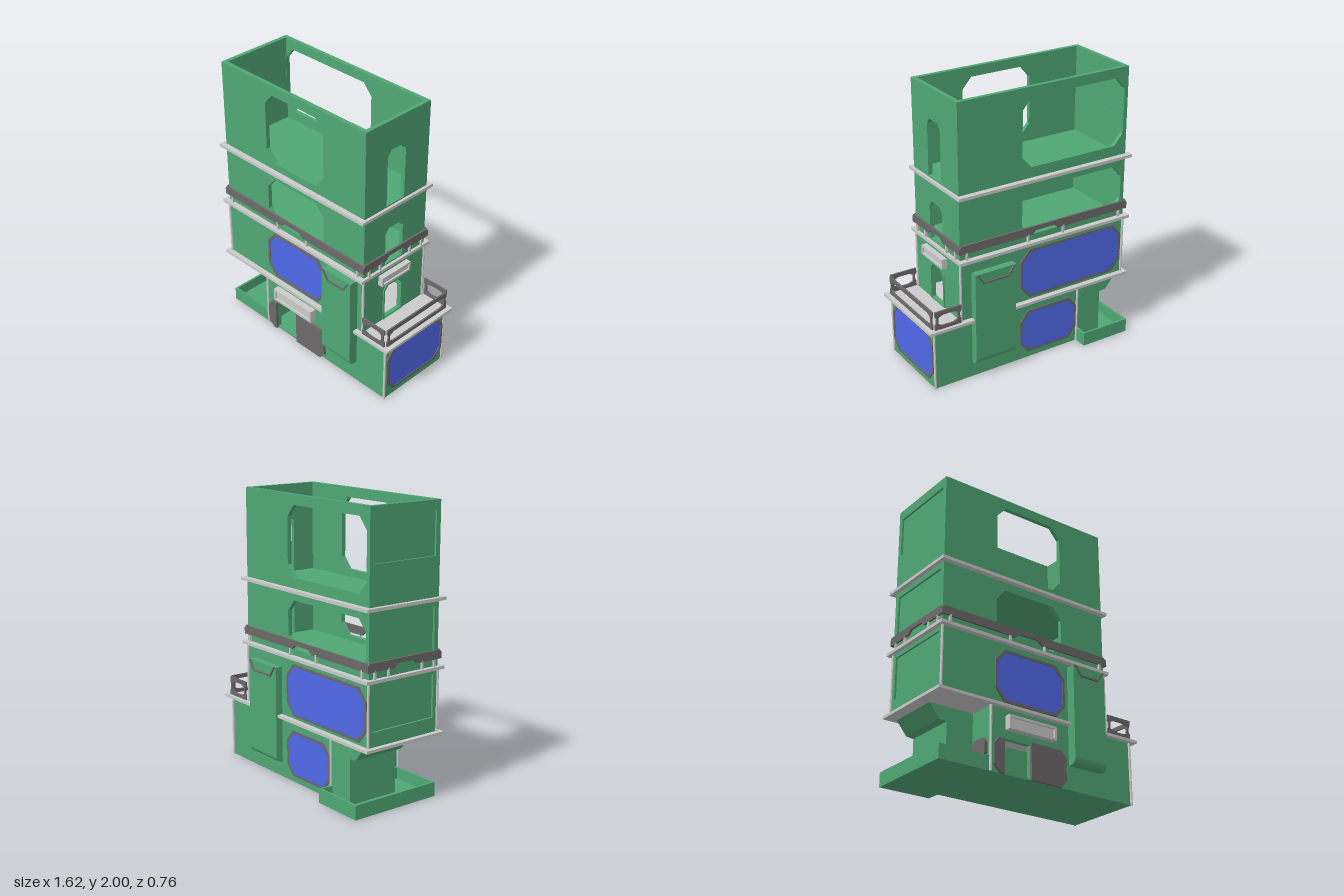
import * as THREE from 'three';

const mat = (color) => new THREE.MeshStandardMaterial({ color, flatShading: true });
const GREEN = mat(0x50a775), GREY = mat(0xcccccc), DARK = mat(0x6c6969), BLUE = mat(0x5069e9);

// Outer faces of the main walls and the wall thickness
const L = -0.78, R = 0.555, F = 0.305, B = -0.28, T = 0.03;

// Outlines: [u, y] points
const rect = (a, b, c, d) => [[a, b], [c, b], [c, d], [a, d]];
const octagon = (a, b, c, d, i = 0.07, j = 0.08) => [
  [a + i, b], [c - i, b], [c, b + j], [c, d - j], [c - i, d], [a + i, d], [a, d - j], [a, b + j]];
const doorway = (a, b, c, d) => [[a, b], [c, b], [c, d - 0.04], [c - 0.03, d], [a + 0.03, d], [a, d - 0.04]];

export function createModel() {
  const model = new THREE.Group();

  const add = (name, geometry, material, parent = model) => {
    const mesh = new THREE.Mesh(geometry, material);
    mesh.name = name;
    parent.add(mesh);
    return mesh;
  };
  const box = (name, x0, x1, y0, y1, z0, z1, material, parent) => {
    const mesh = add(name, new THREE.BoxGeometry(x1 - x0, y1 - y0, z1 - z0), material, parent);
    mesh.position.set((x0 + x1) / 2, (y0 + y1) / 2, (z0 + z1) / 2);
    return mesh;
  };
  const plate = (points, holes, depth) => {
    const toV = (p) => p.map(([u, v]) => new THREE.Vector2(u, v));
    const shape = new THREE.Shape(toV(points));
    shape.holes = holes.map((h) => new THREE.Path(toV(h)));
    return new THREE.ExtrudeGeometry(shape, { depth, bevelEnabled: false });
  };
  // Plate in the x-y plane spanning z .. z + depth
  const facing = (name, points, holes, z, depth, material) => {
    const mesh = add(name, plate(points, holes, depth), material);
    mesh.position.z = z;
    return mesh;
  };
  // Plate in the z-y plane spanning x - depth .. x
  const sideways = (name, points, holes, x, depth, material) => {
    const mesh = add(name, plate(points, holes, depth).rotateY(-Math.PI / 2), material);
    mesh.position.x = x;
    return mesh;
  };

  // Four walls of one storey, with openings per side
  const storey = (name, x0, x1, y0, y1, { front = [], back = [], left = [], right = [] }) => {
    facing(name + 'FrontWall', rect(x0, y0, x1, y1), front, F - T, T, GREEN);
    facing(name + 'BackWall', rect(x0, y0, x1, y1), back, B, T, GREEN);
    sideways(name + 'EndWallLeft', rect(B + T, y0, F - T, y1), left, x1, T, GREEN);
    sideways(name + 'EndWallRight', rect(B + T, y0, F - T, y1), right, x0 + T, T, GREEN);
  };

  const backUpper = (y0, y1) => octagon(-0.75, y0, 0.07, y1);
  const frontUpper = (y0, y1) => octagon(-0.355, y0, 0.185, y1);
  const recess = (y0, y1) => rect(B + 0.035, y0, F - 0.035, y1);
  const groundBack = octagon(-0.375, 0.06, 0.07, 0.36, 0.06, 0.07);
  const groundEnd = octagon(-0.255, 0.06, 0.275, 0.395, 0.06, 0.07);
  const firstFront = frontUpper(0.495, 0.835), firstBack = backUpper(0.495, 0.835);

  storey('ground', -0.4, 0.765, 0, 0.45, {
    front: [rect(-0.3, 0.012, -0.09, 0.235)], back: [groundBack],
    left: [octagon(-0.245, 0.06, 0.27, 0.395, 0.06, 0.07)],
  });
  storey('first', L, R, 0.45, 0.9, {
    front: [firstFront], back: [firstBack],
    left: [doorway(-0.06, 0.47, 0.105, 0.735)], right: [recess(0.56, 0.86)],
  });
  storey('second', L, R, 0.9, 1.36, {
    front: [frontUpper(0.95, 1.29)], back: [backUpper(0.955, 1.29)],
    left: [doorway(-0.06, 0.92, 0.105, 1.2)], right: [recess(1.0, 1.31)],
  });
  storey('third', L, R, 1.36, 2, {
    front: [frontUpper(1.425, 1.93)], back: [backUpper(1.445, 1.93)],
    left: [doorway(-0.06, 1.38, 0.105, 1.785)], right: [recess(1.64, 1.93)],
  });
  // Sunken panels in the right end wall
  [[0.55, 0.87], [0.99, 1.32], [1.63, 1.94]].forEach(([a, b]) =>
    box('recessedPanel', L + 0.014, L + T - 0.002, a, b, B + T, F - T, GREEN));

  // Floors and projecting ledges
  box('groundFloor', -0.4, 0.765, 0, 0.012, B, F, GREEN);
  box('balconySlab', -0.815, 0.81, 0.44, 0.46, -0.32, 0.342, GREY);
  for (const y of [0.9, 1.36]) {
    const ledge = add('ledge', plate(rect(-0.81, -0.342, 0.575, 0.32),
      [rect(L + 0.01, -F + 0.01, R - 0.01, -B - 0.01)], 0.022).rotateX(-Math.PI / 2), GREY);
    ledge.position.y = y - 0.011;
    box('upperFloor', L + T, R - T, y - 0.01, y + 0.014, B + T, F - T, GREEN);
  }

  // Windows: pane with a raised rim
  const grow = (pts, d) => {
    const us = pts.map((p) => p[0]), vs = pts.map((p) => p[1]);
    const cu = (Math.min(...us) + Math.max(...us)) / 2, cv = (Math.min(...vs) + Math.max(...vs)) / 2;
    const ku = 1 + d / (Math.max(...us) - cu), kv = 1 + d / (Math.max(...vs) - cv);
    return pts.map(([u, v]) => [cu + (u - cu) * ku, cv + (v - cv) * kv]);
  };
  const frontWindow = (pts, z) => {
    facing('windowPane', pts, [], z - 0.008, 0.012, BLUE);
    facing('windowFrame', grow(pts, 0.014), [grow(pts, -0.004)], z - 0.008, 0.018, DARK);
  };
  frontWindow(firstFront, F);
  frontWindow(firstBack, B);
  frontWindow(groundBack, B);
  sideways('windowPane', groundEnd, [], 0.769, 0.012, BLUE);
  sideways('windowFrame', grow(groundEnd, 0.014), [grow(groundEnd, -0.004)], 0.774, 0.018, DARK);
  sideways('smallSideWindow', octagon(0.14, 0.1, 0.275, 0.23, 0.02, 0.03), [], -0.4, 0.022, DARK);
  sideways('balconyDoorFrame', doorway(-0.07, 0.462, 0.115, 0.747), [doorway(-0.058, 0.462, 0.103, 0.735)],
    R + 0.008, 0.014, GREEN);

  // Sliding entrance doors
  facing('entranceDoorRight', [[-0.38, 0.05], [-0.33, 0], [-0.3, 0], [-0.3, 0.23], [-0.345, 0.23], [-0.38, 0.19]],
    [], F, 0.018, DARK);
  facing('entranceDoorLeft', [[-0.09, 0], [0.155, 0], [0.2, 0.05], [0.19, 0.12], [0.2, 0.2], [0.155, 0.25], [-0.09, 0.25]],
    [], F, 0.018, DARK);

  // Lamp boxes over the doors
  box('frontLampBox', -0.285, 0.095, 0.295, 0.39, F, F + 0.035, GREY);
  facing('frontLampRim', rect(-0.285, 0.295, 0.095, 0.39), [rect(-0.268, 0.312, 0.078, 0.373)], F + 0.035, 0.012, GREY);
  box('balconyLampBox', R, R + 0.028, 0.785, 0.855, -0.11, 0.165, GREY);
  sideways('balconyLampRim', rect(-0.11, 0.785, 0.165, 0.855), [rect(-0.095, 0.8, 0.15, 0.84)], R + 0.04, 0.012, GREY);

  // Tall wall units; profile (z, y) curves back to the wall at the foot
  const wallUnit = (x0, x1, y0, y1, z, s, d) => {
    const foot = [0, 0.25, 0.5, 0.75, 1].map((t) => {
      const a = t * Math.PI / 2;
      return [z + s * (d - 0.04 + 0.04 * Math.sin(a)), y0 + 0.045 * (1 - Math.cos(a))];
    });
    const profile = [[z - s * 0.01, y0], ...foot, [z + s * d, y1], [z - s * 0.01, y1]];
    sideways('wallUnit', profile, [], x1, x1 - x0, GREEN);
    const bracket = [[x0 + 0.01, y1], [x0 + 0.06, y1 - 0.075], [x1 - 0.06, y1 - 0.075], [x1 - 0.01, y1],
      [x1 - 0.022, y1], [x1 - 0.065, y1 - 0.063], [x0 + 0.065, y1 - 0.063], [x0 + 0.022, y1]];
    facing('wallUnitTrim', bracket, [], s > 0 ? z + d : z - d - 0.01, 0.01, DARK);
  };
  wallUnit(0.23, 0.5, 0.165, 0.865, F, 1, 0.068);
  wallUnit(0.15, 0.47, 0.11, 0.8, B, -1, 0.052);

  // Corner pipes
  const pipe = (x, y0, y1, z) => {
    add('cornerPipe', new THREE.CylinderGeometry(0.009, 0.009, y1 - y0, 8), GREY).position.set(x, (y0 + y1) / 2, z);
  };
  for (const z of [B - 0.003, F + 0.003]) {
    for (const x of [L, R]) pipe(x, 0.46, 0.89, z);
    for (const x of [-0.4, 0.765]) pipe(x, 0, 0.44, z);
  }

  // Railing around the second storey, notched in the middle of each side
  const band = (a, b, n0, n1) => [[a, 0.96], [n0 - 0.03, 0.96], [n0, 0.988], [n1, 0.988], [n1 + 0.03, 0.96],
    [b, 0.96], [b, 1.005], [b - 0.015, 1.02], [a + 0.015, 1.02], [a, 1.005]];
  for (const z of [F + 0.006, B - 0.02]) {
    facing('longRailing', band(-0.79, 0.565, -0.18, -0.03), [], z, 0.014, DARK);
    for (const x of [-0.73, -0.255, 0.03, 0.51])
      box('railingPost', x - 0.007, x + 0.007, 0.905, 0.97, z, z + 0.014, GREY);
  }
  for (const x of [R + 0.016, L - 0.002]) {
    sideways('endRailing', band(B - 0.02, F + 0.02, -0.05, 0.08), [], x, 0.014, DARK);
    for (const z of [-0.24, -0.125, 0.16, 0.265])
      box('railingPost', x - 0.014, x, 0.905, 0.97, z - 0.007, z + 0.007, GREY);
  }

  // Balcony railing: open frames on three sides
  const frame = (a, b) => [
    [[a, 0.465], [b, 0.465], [b, 0.5], [b - 0.01, 0.515], [b - 0.01, 0.55], [b, 0.565], [b, 0.6],
      [a, 0.6], [a, 0.565], [a + 0.01, 0.55], [a + 0.01, 0.515], [a, 0.5]],
    [[[a + 0.025, 0.505], [a + 0.06, 0.49], [b - 0.06, 0.49], [b - 0.025, 0.505],
      [b - 0.025, 0.555], [b - 0.06, 0.57], [a + 0.06, 0.57], [a + 0.025, 0.555]]]];
  for (const z of [0.312, -0.305]) facing('balconySideRail', ...frame(0.565, 0.765), z, 0.012, DARK);
  sideways('balconyEndRail', ...frame(-0.285, 0.305), 0.78, 0.012, DARK);

  // Sheltered corner: pillar with flared bracket, standing in a shallow tray
  facing('pillar', [[-0.6, 0], [-0.39, 0], [-0.39, 0.45], [-0.74, 0.45], [-0.655, 0.345], [-0.6, 0.34]],
    [], B, 0.11 - B, GREEN);
  box('trayFloor', L, -0.4, 0, 0.02, -0.38, F, GREEN);
  const tray = add('trayRim', plate(rect(L, -F, -0.4, 0.38),
    [rect(L + 0.015, -F + 0.015, -0.415, 0.365)], 0.1).rotateX(-Math.PI / 2), GREEN);
  tray.position.y = 0;

  return model;
}
